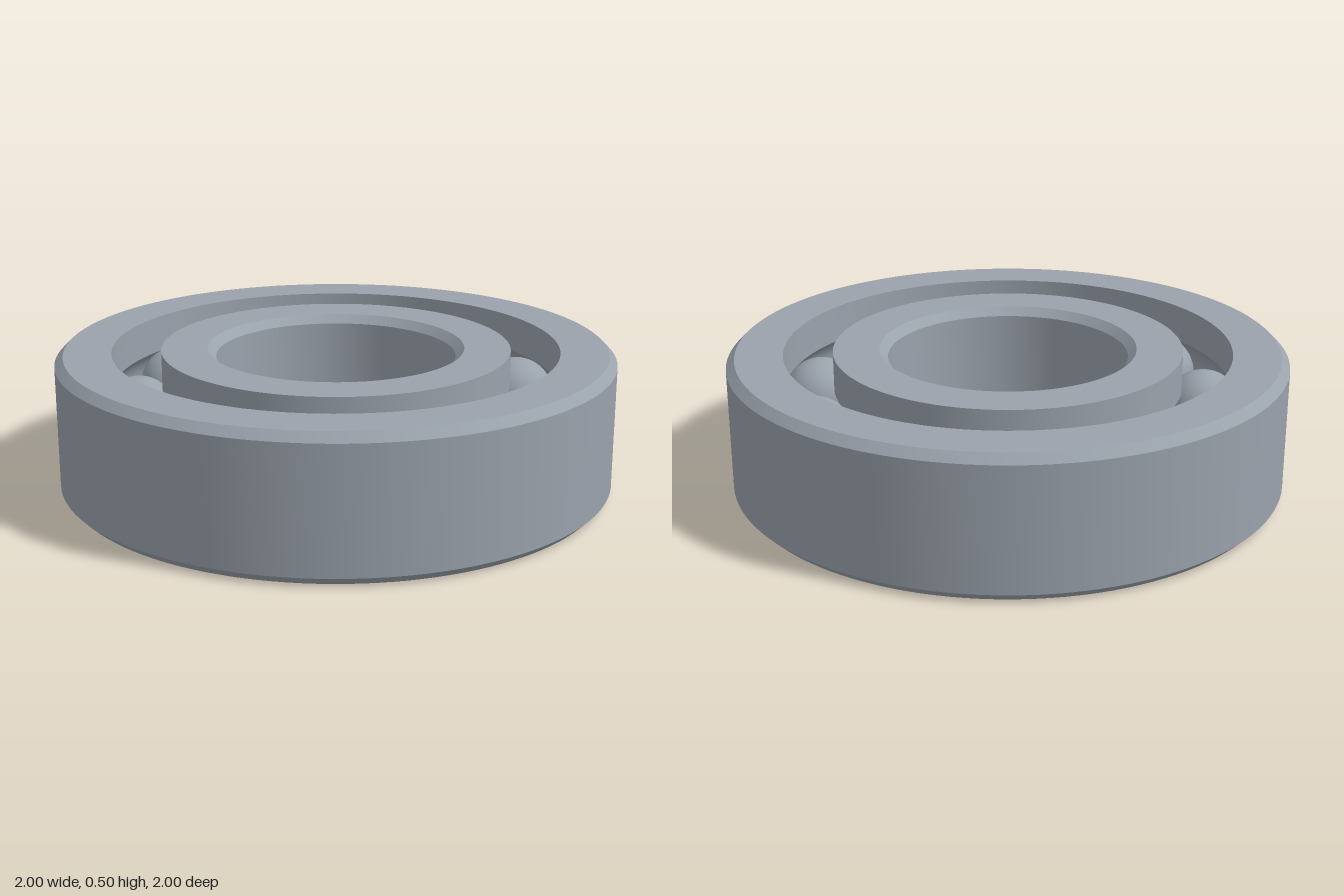
import * as THREE from 'three';
import { toCreasedNormals } from 'three/addons/utils/BufferGeometryUtils.js';

const HEIGHT = 0.5;
const MID = HEIGHT / 2;
const CHAMFER = 0.03;
const PITCH = 0.715;        // radius of the circle of ball centres
const BALL_RADIUS = 0.139;
const GROOVE_RADIUS = 0.142;
const BALL_COUNT = 11;
const FIRST_BALL = THREE.MathUtils.degToRad(12);

// Half angle of the raceway arc where it meets a wall of the given radius
const grooveAngle = (wall) => Math.acos(Math.abs(wall - PITCH) / GROOVE_RADIUS);

// Raceway arc in the (radius, height) plane
function groove(from, to, steps = 16) {
  const points = [];
  for (let i = 0; i <= steps; i++) {
    const a = from + (to - from) * i / steps;
    points.push([PITCH + GROOVE_RADIUS * Math.cos(a), MID + GROOVE_RADIUS * Math.sin(a)]);
  }
  return points;
}

// Closed counter-clockwise profile turned into a ring with sharp edges
function ring(name, profile, material) {
  const points = [...profile, profile[0]].map(([r, y]) => new THREE.Vector2(r, y));
  const mesh = new THREE.Mesh(toCreasedNormals(new THREE.LatheGeometry(points, 128), 0.5), material);
  mesh.name = name;
  return mesh;
}

export function createModel() {
  const model = new THREE.Group();
  model.name = 'ballBearing';
  const steel = new THREE.MeshStandardMaterial({ color: 0x9aa2ac });
  steel.name = 'steel';

  // Outer ring: chamfered rim, raceway on the inside
  const outerWall = 0.8;
  const ao = grooveAngle(outerWall);
  model.add(ring('outerRing', [
    [outerWall, 0], [1 - CHAMFER, 0], [1, CHAMFER],
    [1, HEIGHT - CHAMFER], [1 - CHAMFER, HEIGHT], [outerWall, HEIGHT],
    ...groove(ao, -ao),
  ], steel));

  // Inner ring: raceway on the outside, chamfered bore
  const innerWall = 0.625;
  const bore = 0.43;
  const ai = grooveAngle(innerWall);
  model.add(ring('innerRing', [
    [bore + CHAMFER, 0], [innerWall, 0],
    ...groove(Math.PI + ai, Math.PI - ai),
    [innerWall, HEIGHT], [bore + CHAMFER, HEIGHT],
    [bore, HEIGHT - CHAMFER], [bore, CHAMFER],
  ], steel));

  // Balls, evenly spaced in the raceway
  const balls = new THREE.Group();
  balls.name = 'balls';
  const ballGeometry = new THREE.SphereGeometry(BALL_RADIUS, 40, 24);
  for (let i = 0; i < BALL_COUNT; i++) {
    const a = FIRST_BALL + i * Math.PI * 2 / BALL_COUNT;
    const ball = new THREE.Mesh(ballGeometry, steel);
    ball.name = `ball${i + 1}`;
    ball.position.set(PITCH * Math.cos(a), MID, PITCH * Math.sin(a));
    balls.add(ball);
  }
  model.add(balls);

  return model;
}
